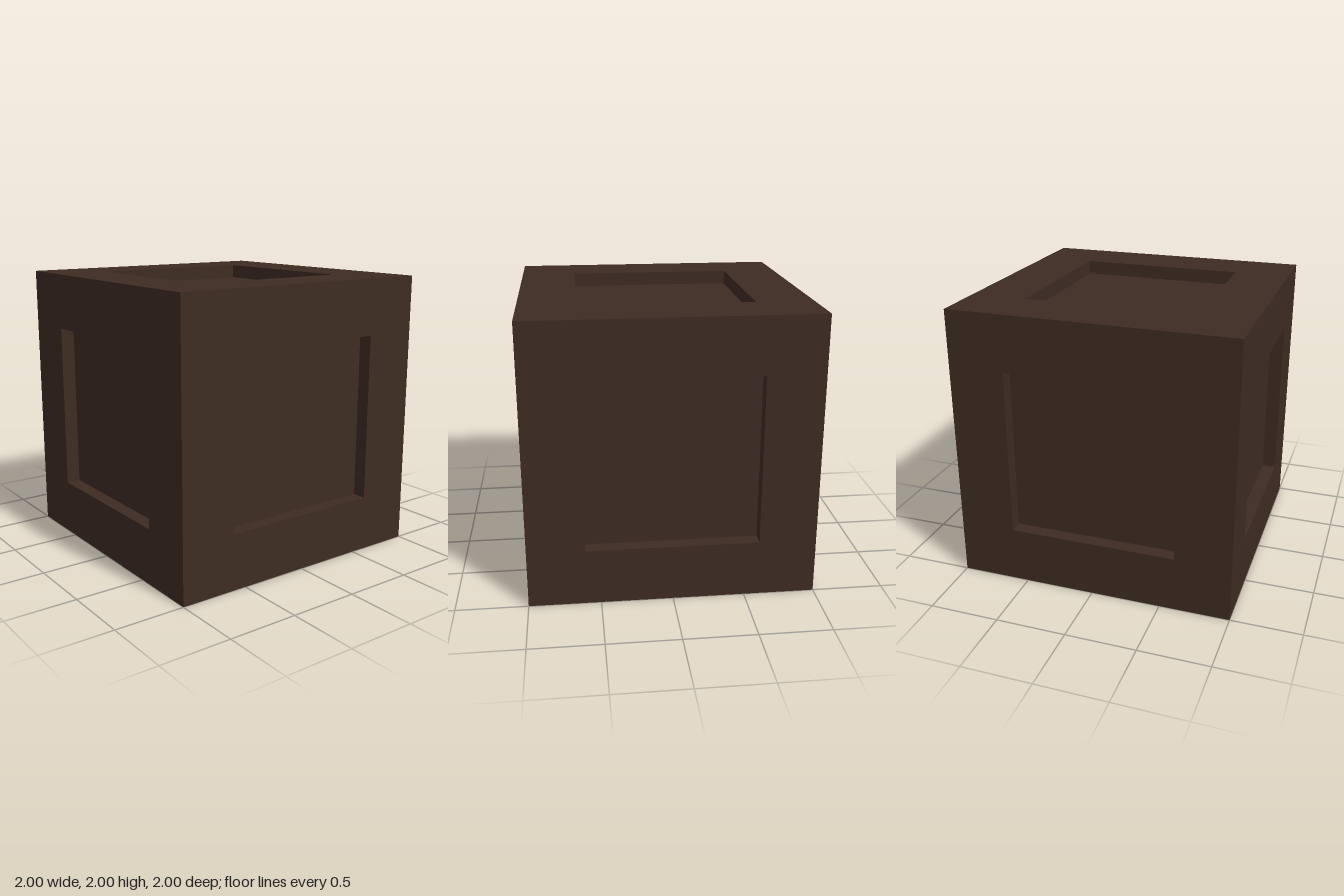
import * as THREE from 'three';

const HALF = 1, OPEN = 0.6, DEPTH = 0.1;

// Closed square outline of the given half width
function square(h, PathType) {
  return new PathType([[-h, -h], [h, -h], [h, h], [-h, h]].map(([x, y]) => new THREE.Vector2(x, y)));
}

export function createModel() {
  const darkWood = new THREE.MeshStandardMaterial({ color: 0x3d2c22 });
  darkWood.name = 'darkWood';

  // Flat border around the square opening
  const border = square(HALF, THREE.Shape);
  border.holes.push(square(OPEN, THREE.Path));
  const borderGeo = new THREE.ShapeGeometry(border).translate(0, 0, HALF);

  // Sunken panel
  const panelGeo = new THREE.PlaneGeometry(2 * OPEN, 2 * OPEN).translate(0, 0, HALF - DEPTH);

  // Lower recess wall, facing the middle of the opening
  const wallGeo = new THREE.PlaneGeometry(2 * OPEN, DEPTH)
    .rotateX(-Math.PI / 2)
    .translate(0, -OPEN, HALF - DEPTH / 2);

  function makeSide(name) {
    const side = new THREE.Group();
    side.name = name;
    const add = (geo, partName) => {
      const mesh = new THREE.Mesh(geo, darkWood);
      mesh.name = partName;
      side.add(mesh);
      return mesh;
    };
    add(borderGeo, 'border');
    add(panelGeo, 'sunkenPanel');
    for (let i = 0; i < 4; i++) add(wallGeo, 'recessWall').rotation.z = i * Math.PI / 2;
    return side;
  }

  // Six identical sides form the crate
  const crate = new THREE.Group();
  crate.name = 'crate';
  const q = Math.PI / 2;
  const sides = [
    ['frontSide', 0, 0], ['leftSide', 0, q], ['backSide', 0, 2 * q],
    ['rightSide', 0, -q], ['topSide', -q, 0], ['bottomSide', q, 0],
  ];
  for (const [name, rx, ry] of sides) {
    const side = makeSide(name);
    side.rotation.set(rx, ry, 0);
    side.position.y = HALF;
    crate.add(side);
  }
  return crate;
}
